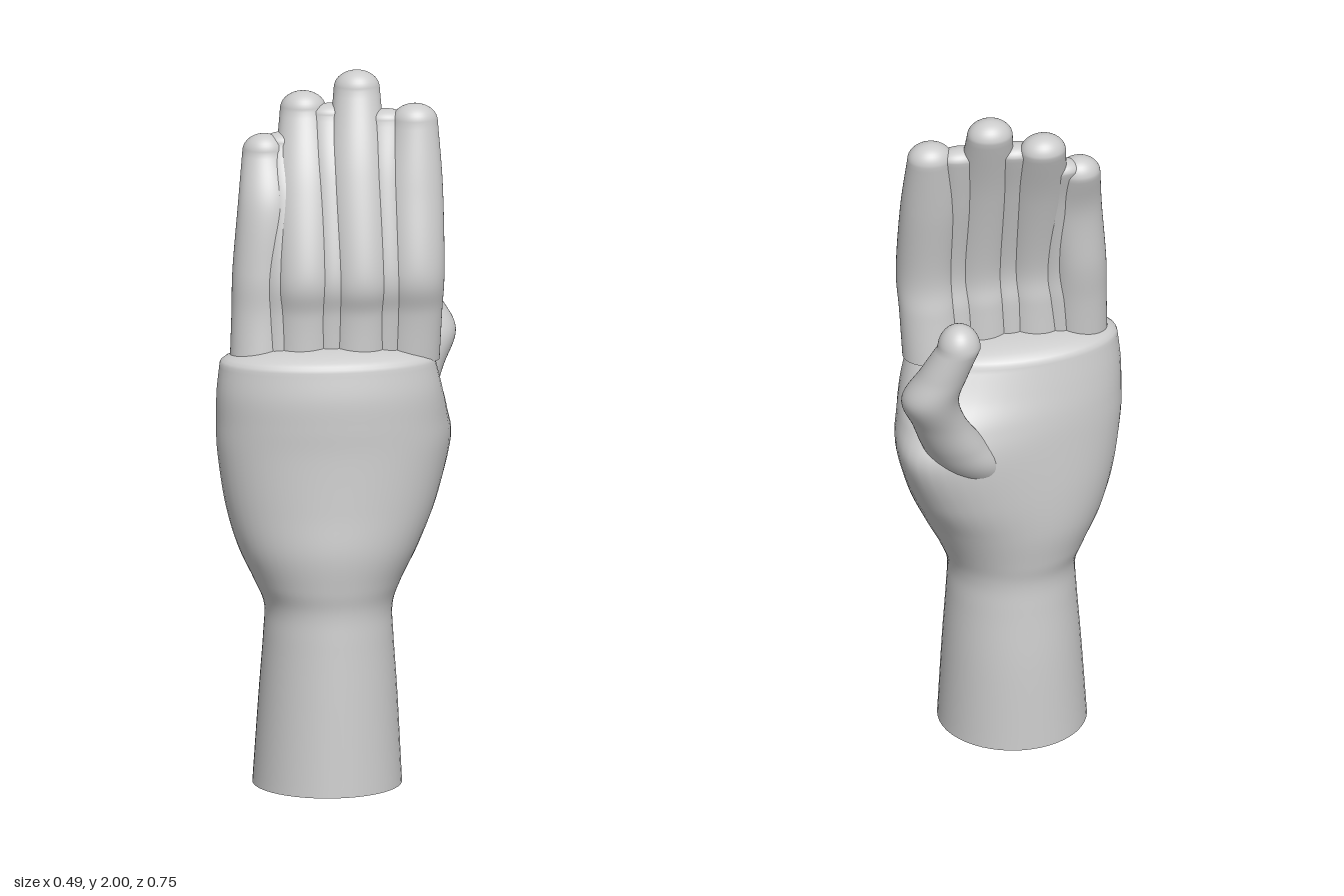
import * as THREE from 'three';

const material = new THREE.MeshStandardMaterial({ color: 0xcccccc });
const SIDES = 48;
const PALM_TURN = 0.68; // turn of the palm's breadth away from the z axis
const FINGER_TURN = 0.76; // the row of fingers is turned a little further
const BULGE_ANGLE = -0.9; // where the thumb mound swells on the palm's oval

// Smooth loft through level oval sections [y, x, z, half breadth, half depth, bulge].
// capHeight adds a rounded tip; turn swings the breadth away from the z axis;
// bulge pushes the thumb corner of the oval towards the thumb.
function loft(name, sections, capHeight, turn = PALM_TURN, steps = 48) {
  const across = new THREE.Vector3(Math.sin(turn), 0, -Math.cos(turn)); // little finger to index
  const back = new THREE.Vector3(Math.cos(turn), 0, Math.sin(turn)); // palm to back of hand
  const centres = new THREE.CatmullRomCurve3(
    sections.map(([y, x, z]) => new THREE.Vector3(x, y, z)), false, 'catmullrom', 0.5);
  const sizes = new THREE.CatmullRomCurve3(
    sections.map(([, , , a, b, m = 0]) => new THREE.Vector3(a, b, m)), false, 'catmullrom', 0.5);
  const rings = [];
  for (let i = 0; i <= steps; i++) {
    const s = sizes.getPoint(i / steps);
    rings.push({ c: centres.getPoint(i / steps), a: s.x, b: s.y, m: s.z });
  }
  // flat closed bottom with a sharp rim
  rings.unshift({ c: rings[0].c, a: 0, b: 0, m: 0 }, { ...rings[0] });
  // rounded tip
  const top = rings[rings.length - 1];
  for (let i = 1; i <= 10; i++) {
    const t = (i / 10) * Math.PI / 2;
    const c = top.c.clone();
    c.y += capHeight * Math.sin(t);
    rings.push({ c, a: top.a * Math.cos(t), b: top.b * Math.cos(t), m: 0 });
  }

  const positions = [], index = [];
  rings.forEach(({ c, a, b, m }, k) => {
    for (let j = 0; j < SIDES; j++) {
      const t = (j / SIDES) * Math.PI * 2 - Math.PI;
      const p = c.clone().addScaledVector(across, a * Math.cos(t)).addScaledVector(back, b * Math.sin(t));
      p.z -= m * Math.exp(-(((t - BULGE_ANGLE) / 0.7) ** 2));
      positions.push(p.x, p.y, p.z);
      if (k === rings.length - 1) continue;
      const p0 = k * SIDES + j, p1 = k * SIDES + (j + 1) % SIDES;
      index.push(p0, p0 + SIDES, p1, p1, p0 + SIDES, p1 + SIDES);
    }
  });
  const geometry = new THREE.BufferGeometry();
  geometry.setAttribute('position', new THREE.Float32BufferAttribute(positions, 3));
  geometry.setIndex(index);
  geometry.computeVertexNormals();
  const mesh = new THREE.Mesh(geometry, material);
  mesh.name = name;
  return mesh;
}

export function createModel() {
  const hand = new THREE.Group();
  hand.name = 'hand';

  // Wrist stump flaring into the palm with its thumb mound, ending in a rounded ledge
  hand.add(loft('wristAndPalm', [
    [0, -0.005, 0.11, 0.208, 0.211],
    [0.25, -0.006, 0.106, 0.193, 0.197],
    [0.42, -0.005, 0.106, 0.181, 0.184],
    [0.51, -0.005, 0.106, 0.179, 0.179],
    [0.58, -0.007, 0.107, 0.205, 0.189],
    [0.68, -0.008, 0.105, 0.252, 0.199, 0.015],
    [0.8, -0.008, 0.1, 0.29, 0.193, 0.065],
    [0.95, -0.005, 0.1, 0.314, 0.182, 0.12],
    [1.04, -0.003, 0.104, 0.315, 0.177, 0.09],
    [1.12, 0, 0.11, 0.312, 0.168, 0.035],
    [1.2, 0, 0.114, 0.301, 0.152],
  ], 0.055, PALM_TURN, 80));

  // Thumb rising out of the mound
  hand.add(loft('thumb', [
    [0.82, -0.015, -0.02, 0.07, 0.07],
    [0.93, -0.018, -0.105, 0.1, 0.1],
    [1.02, -0.02, -0.18, 0.089, 0.089],
    [1.12, -0.022, -0.248, 0.076, 0.076],
    [1.22, -0.027, -0.297, 0.08, 0.08],
    [1.31, -0.065, -0.285, 0.069, 0.069],
    [1.4, -0.105, -0.267, 0.06, 0.06],
  ], 0.07));

  // Fingers: [x, z] of the centre at the base, waist, bent joint, upper joint and tip
  const fingers = [
    { name: 'indexFinger', top: 1.915, path: [[0.134, -0.074], [0.15, -0.07], [0.165, -0.063], [0.13, -0.092], [0.105, -0.122]] },
    { name: 'middleFinger', top: 2.0, path: [[0.06, 0.056], [0.066, 0.057], [0.077, 0.06], [0.022, 0.02], [-0.037, -0.035]] },
    { name: 'ringFinger', top: 1.94, path: [[-0.04, 0.171], [-0.037, 0.171], [-0.03, 0.172], [-0.082, 0.125], [-0.143, 0.07]] },
    { name: 'littleFinger', top: 1.83, path: [[-0.125, 0.263], [-0.133, 0.25], [-0.138, 0.24], [-0.143, 0.215], [-0.183, 0.183]] },
  ];
  const levels = top => [1.2, 1.34, 1.46, 1.46 + (top - 1.46) * 0.5, top - 0.05];
  const breadths = [0.083, 0.082, 0.083, 0.082, 0.064];
  const depths = [0.07, 0.066, 0.071, 0.064, 0.053];
  fingers.forEach(({ name, top, path }) => {
    const k = name === 'littleFinger' ? 0.93 : 1;
    const sections = levels(top).map((y, i) => [y, ...path[i], breadths[i] * k, depths[i] * k]);
    hand.add(loft(name, sections, 0.05, FINGER_TURN));
  });

  // Webs that join neighbouring fingers almost to the tips
  for (let n = 0; n < 3; n++) {
    const [f, g] = [fingers[n], fingers[n + 1]];
    const [fy, gy] = [levels(f.top), levels(g.top)];
    const sections = fy.map((y, i) => [
      (y + gy[i]) / 2,
      (f.path[i][0] + g.path[i][0]) / 2,
      (f.path[i][1] + g.path[i][1]) / 2,
      0.06, [0.056, 0.055, 0.057, 0.052, 0.036][i],
    ]);
    // stop short of the tips, still on the line between both fingers
    const [joint, tip] = sections.slice(-2);
    sections[4] = tip.map((v, i) => joint[i] + (v - joint[i]) * 0.8);
    hand.add(loft('fingerWeb' + (n + 1), sections, 0.03, FINGER_TURN));
  }
  return hand;
}
